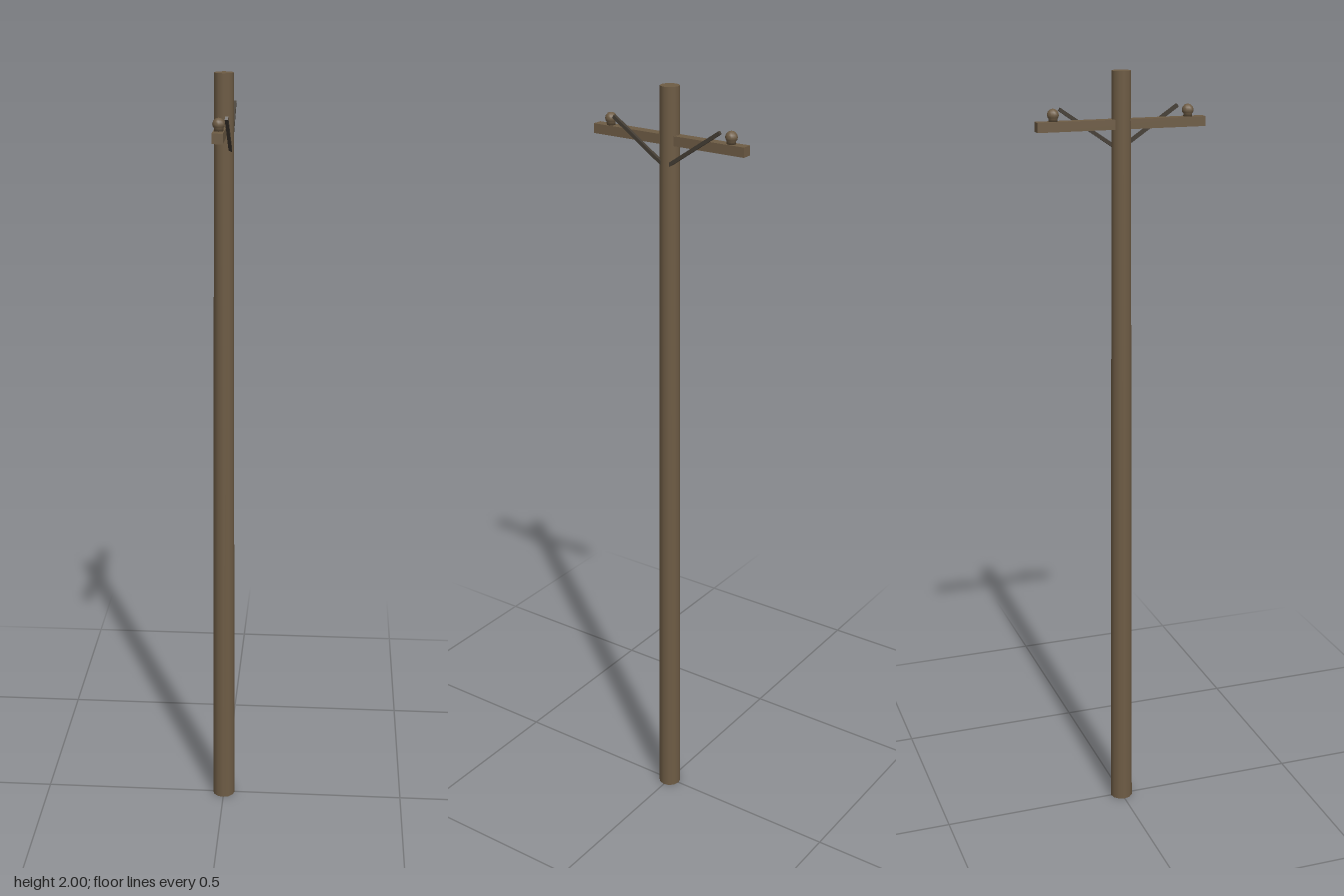
import * as THREE from 'three';

export function createModel() {
  const model = new THREE.Group();
  model.name = 'utilityPole';
  const makeMaterial = (name, color) => {
    const material = new THREE.MeshStandardMaterial({ color });
    material.name = name;
    return material;
  };
  const wood = makeMaterial('weathered brown', 0x6e5c45);
  const iron = makeMaterial('dark iron', 0x443d34);

  const add = (name, geometry, material, x, y, z) => {
    const mesh = new THREE.Mesh(geometry, material);
    mesh.name = name;
    mesh.position.set(x, y, z);
    model.add(mesh);
    return mesh;
  };

  // Tapered pole
  add('pole', new THREE.CylinderGeometry(0.0239, 0.0304, 2, 12), wood, 0, 1, 0);

  // Crossarm running front to back
  add('crossarm', new THREE.BoxGeometry(0.0265, 0.024, 0.434), wood, 0, 1.8725, 0);

  // Insulator profile: short neck, rounded bulb
  const profile = [
    [0, 0], [0.011, 0], [0.011, 0.007], [0.0135, 0.01], [0.015, 0.016],
    [0.013, 0.023], [0.008, 0.0285], [0, 0.031],
  ].map(([r, y]) => new THREE.Vector2(r, y));

  for (const side of [1, -1]) {
    const end = side > 0 ? 'front' : 'back';
    add(end + 'Insulator', new THREE.LatheGeometry(profile, 12), wood, 0, 1.8845, side * 0.174);

    // Diagonal iron brace rising outward along the left face of the arm
    const dy = 0.103, dz = 0.153;
    const brace = add(end + 'Brace', new THREE.BoxGeometry(0.008, 0.009, Math.hypot(dy, dz)),
      iron, 0.017, 1.808 + dy / 2, side * dz / 2);
    brace.rotation.x = -side * Math.atan2(dy, dz);
  }
  return model;
}
